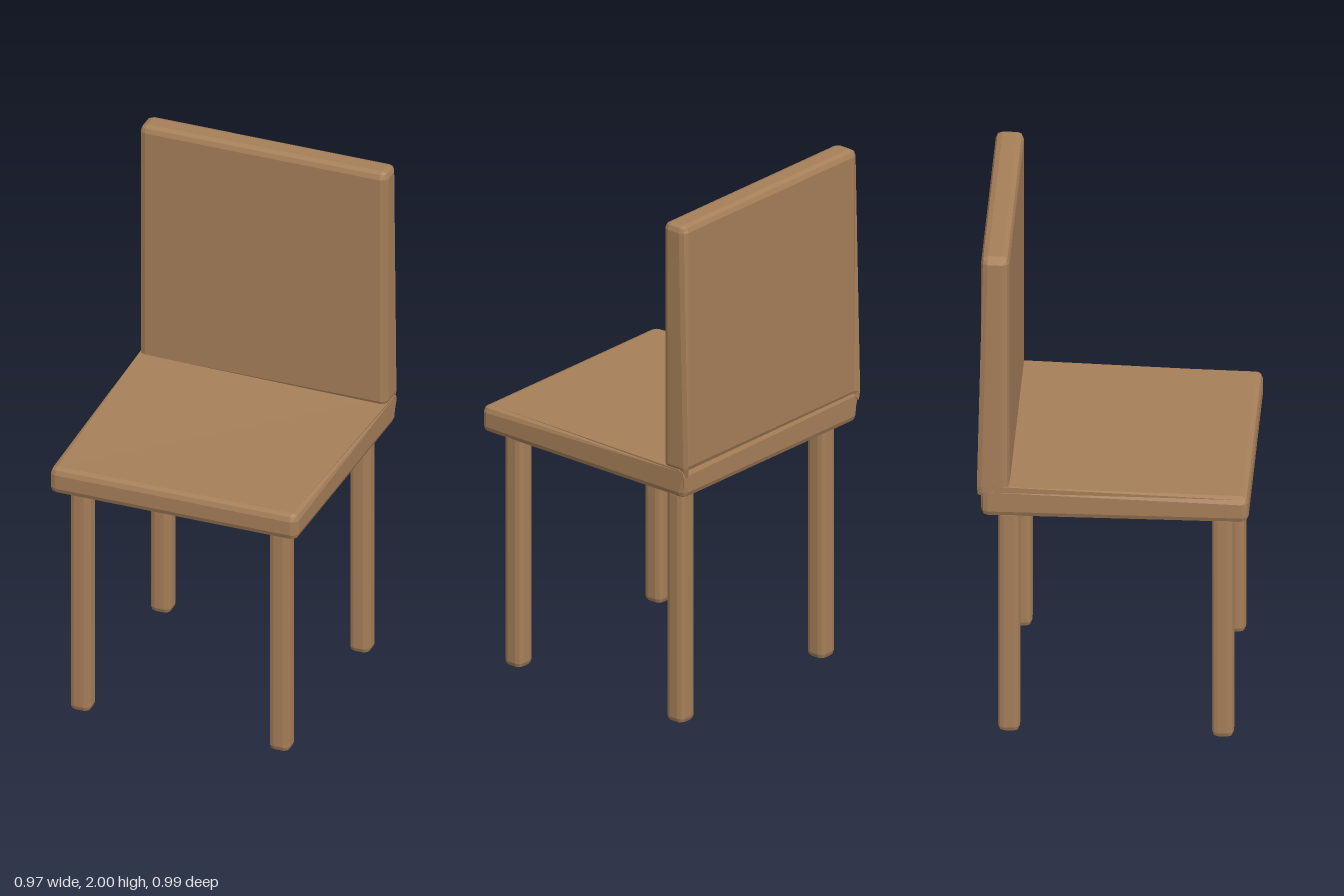
import * as THREE from 'three';
import { RoundedBoxGeometry } from 'three/addons/geometries/RoundedBoxGeometry.js';

const wood = new THREE.MeshStandardMaterial({ name: 'wood', color: 0xa67f59, flatShading: true });

// Bevelled box given by its limits; an optional rule moves its vertices
function bevelBox(name, [x0, x1], [y0, y1], [z0, z1], bevel, rule) {
  const g = new RoundedBoxGeometry(x1 - x0, y1 - y0, z1 - z0, 1, bevel);
  g.translate((x0 + x1) / 2, (y0 + y1) / 2, (z0 + z1) / 2);
  if (rule) {
    const p = g.attributes.position;
    const v = new THREE.Vector3();
    for (let i = 0; i < p.count; i++) {
      rule(v.fromBufferAttribute(p, i));
      p.setXYZ(i, v.x, v.y, v.z);
    }
    g.computeVertexNormals();
  }
  const mesh = new THREE.Mesh(g, wood);
  mesh.name = name;
  return mesh;
}

export function createModel() {
  const chair = new THREE.Group();
  chair.name = 'chair';

  // Seat: top rises to the back and loses its side bevel there
  chair.add(bevelBox('seat', [-0.485, 0.485], [0.925, 1.03], [-0.473, 0.5], 0.025, (v) => {
    if (v.y > 0.98 && v.z < 0) {
      v.x = Math.sign(v.x) * 0.485;
      v.y += v.x < 0 ? 0.024 : 0.01;
    }
  }));

  // Backrest: lower rear corners flare slightly outward
  chair.add(bevelBox('backrest', [-0.485, 0.485], [1.025, 2], [-0.473, -0.37], 0.025, (v) => {
    if (v.y < 1.5 && v.z < -0.42 && Math.abs(v.x) > 0.466) {
      v.z -= 0.022;
      if (v.y < 1.04) v.y -= 0.02;
    }
  }));

  // Four straight legs
  const half = 0.04;
  for (const x of [-0.39, 0.39]) {
    for (const z of [-0.375, 0.403]) {
      const name = (z > 0 ? 'front' : 'back') + (x > 0 ? 'Left' : 'Right') + 'Leg';
      chair.add(bevelBox(name, [x - half, x + half], [0, 0.925], [z - half, z + half], 0.022));
    }
  }
  return chair;
}
